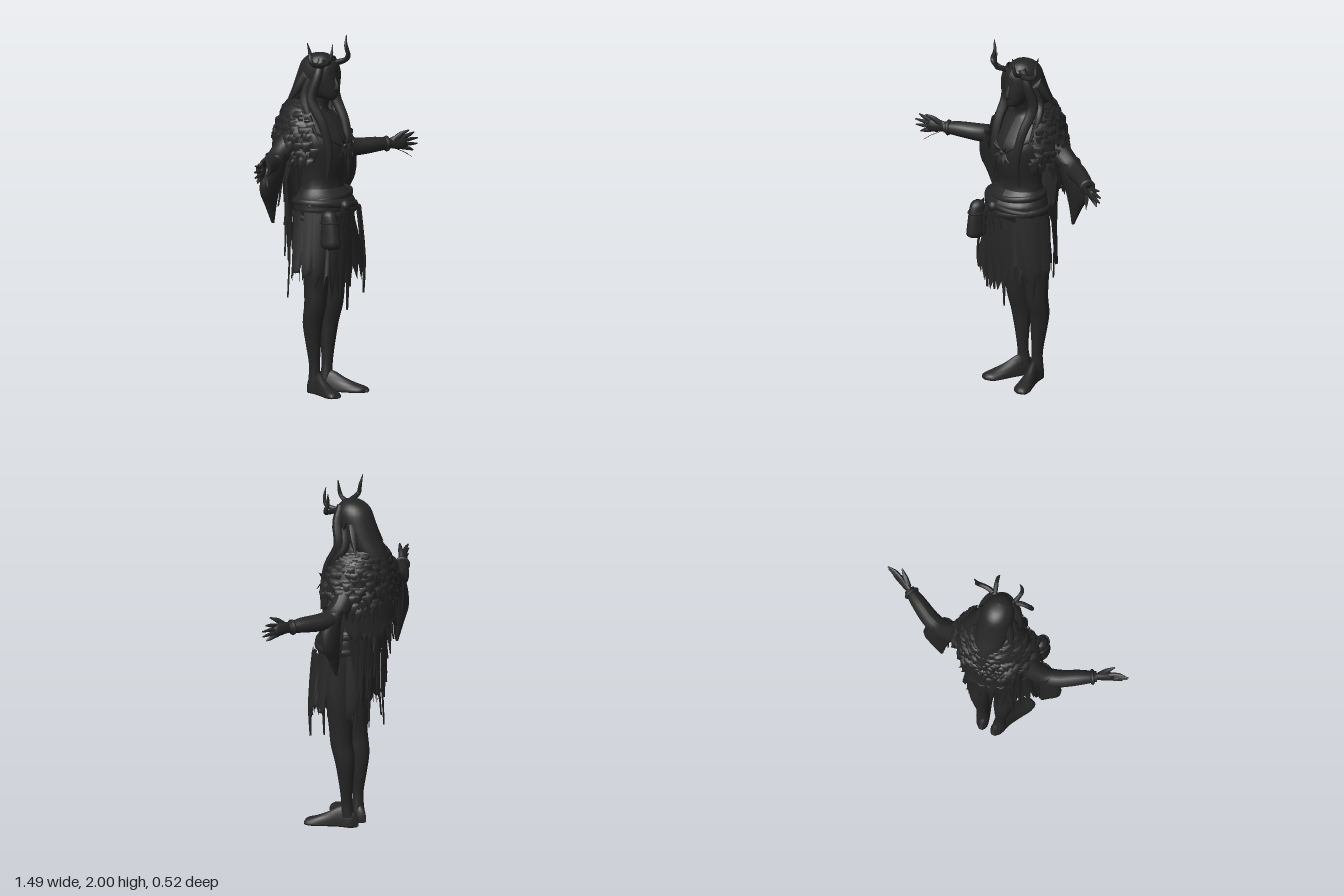
import * as THREE from 'three';
import { mergeGeometries } from 'three/addons/utils/BufferGeometryUtils.js';

const charcoal = new THREE.MeshStandardMaterial({ color: 0x262626, side: THREE.DoubleSide });
charcoal.name = 'charcoal';

let seed = 7;
const rnd = () => (seed = (seed * 16807) % 2147483647) / 2147483647;
const jit = (a) => (rnd() * 2 - 1) * a;

// Grid surface from a rule fn(u, v) -> [x, y, z]
function surf(fn, nu, nv) {
  const pos = [], idx = [];
  for (let j = 0; j <= nv; j++)
    for (let i = 0; i <= nu; i++) pos.push(...fn(i / nu, j / nv, i));
  for (let j = 0; j < nv; j++)
    for (let i = 0; i < nu; i++) {
      const a = j * (nu + 1) + i, b = a + nu + 1;
      idx.push(a, b, a + 1, b, b + 1, a + 1);
    }
  const g = new THREE.BufferGeometry();
  g.setAttribute('position', new THREE.Float32BufferAttribute(pos, 3));
  g.setIndex(idx);
  g.computeVertexNormals();
  return g;
}

// Smooth path through points, extra numbers handled as a second curve
function spline(pts) {
  const a = new THREE.CatmullRomCurve3(pts.map((p) => new THREE.Vector3(p[0], p[1], p[2])), false, 'catmullrom', 0.5);
  const b = new THREE.CatmullRomCurve3(pts.map((p) => new THREE.Vector3(p[3] ?? 0, p[4] ?? 0, 0)), false, 'catmullrom', 0.5);
  return (t) => ({ p: a.getPoint(t), s: b.getPoint(t), d: a.getTangent(t) });
}

// Upright body of stacked ellipses [x, y, z, rx, rz]
function loft(rings, n = 24) {
  const at = spline(rings);
  return surf((u, v) => {
    const { p, s } = at(v), a = u * Math.PI * 2;
    return [p.x + Math.sin(a) * Math.max(s.x, 0.001), p.y, p.z + Math.cos(a) * Math.max(s.y, 0.001)];
  }, n, (rings.length - 1) * 3);
}

// Tapered limb along points [x, y, z, radius]; flat squeezes its depth
function limb(pts, n = 10, flat = 1) {
  const at = spline(pts), ref = new THREE.Vector3(0, 0, 1);
  return surf((u, v) => {
    const { p, s, d } = at(v), a = u * Math.PI * 2, r = Math.max(s.x, 0.001);
    const side = new THREE.Vector3().crossVectors(ref, d).normalize();
    const up = new THREE.Vector3().crossVectors(d, side);
    return p.addScaledVector(side, Math.cos(a) * r).addScaledVector(up, Math.sin(a) * r * flat).toArray();
  }, n, (pts.length - 1) * 4);
}

// Pointed strip of cloth, facing away from the body axis
function rag(pts, w) {
  const at = spline(pts), [x0, , z0] = pts[0], l = Math.hypot(x0, z0) || 1;
  return surf((u, v) => {
    const { p } = at(v), k = (u - 0.5) * w * (1 - v ** 2.5), bow = 0.15 * w * (1 - Math.abs(2 * u - 1));
    return [p.x + (z0 * k + x0 * bow) / l, p.y, p.z + (-x0 * k + z0 * bow) / l];
  }, 2, 5);
}

export function createModel() {
  const model = new THREE.Group();
  const add = (name, ...geos) => {
    const m = new THREE.Mesh(geos.length > 1 ? mergeGeometries(geos) : geos[0], charcoal);
    m.name = name;
    model.add(m);
    return m;
  };

  add('torso', loft([[0, 1.67, 0.03, 0.045, 0.045], [0, 1.61, 0, 0.055, 0.055], [0, 1.57, -0.01, 0.13, 0.085],
    [0, 1.5, 0, 0.16, 0.125], [0, 1.42, 0.02, 0.165, 0.145], [0, 1.3, 0.03, 0.14, 0.13],
    [0, 1.2, 0.03, 0.133, 0.105], [0, 1.1, 0.03, 0.155, 0.125], [0, 1, 0.01, 0.16, 0.11], [0.02, 0.92, 0.01, 0.13, 0.095]]));

  // Head, nose and hair
  add('head', loft([[0, 1.9, 0.04, 0.03, 0.03], [0, 1.86, 0.04, 0.07, 0.072], [0, 1.8, 0.045, 0.078, 0.075],
    [0, 1.75, 0.05, 0.07, 0.075], [0, 1.7, 0.06, 0.055, 0.066], [0, 1.665, 0.07, 0.03, 0.045], [0, 1.65, 0.06, 0.001, 0.001]]));
  add('nose', limb([[0, 1.79, 0.115, 0.007], [0, 1.745, 0.13, 0.012], [0, 1.725, 0.128, 0.016], [0, 1.712, 0.12, 0.004]], 8));
  add('hair', loft([[0, 1.922, 0.02, 0.001, 0.001], [0, 1.91, 0.01, 0.05, 0.055], [0, 1.87, 0, 0.085, 0.095],
    [0, 1.8, -0.02, 0.095, 0.105], [0, 1.72, -0.06, 0.095, 0.095], [0, 1.64, -0.12, 0.08, 0.075],
    [0, 1.56, -0.175, 0.05, 0.05], [0, 1.47, -0.215, 0.02, 0.02], [0, 1.43, -0.23, 0.001, 0.001]]));

  // Legs and feet stand slightly off the centre line
  for (const s of [1, -1]) {
    const side = s > 0 ? 'left' : 'right', X = (o) => 0.037 + s * o;
    add(side + 'Leg', limb([[X(0.07), 0.98, 0.015, 0.082], [X(0.077), 0.75, 0.018, 0.08], [X(0.077), 0.6, 0.015, 0.068],
      [X(0.078), 0.5, 0.01, 0.062], [X(0.075), 0.4, -0.01, 0.056], [X(0.066), 0.28, -0.012, 0.043],
      [X(0.058), 0.16, -0.01, 0.031], [X(0.052), 0.06, -0.015, 0.036]], 16));
    const foot = spline([[0.038, 0, -0.07, 0.012, 0.05], [0.045, 0, -0.04, 0.034, 0.09], [0.06, 0, 0.02, 0.036, 0.11],
      [0.09, 0, 0.09, 0.043, 0.068], [0.115, 0, 0.15, 0.052, 0.04], [0.128, 0, 0.195, 0.044, 0.025], [0.13, 0, 0.212, 0.015, 0.01]]);
    add(side + 'Foot', surf((u, v) => {
      const { p, s: k } = foot(v), a = u * Math.PI * 2;
      return [X(p.x + Math.cos(a) * k.x), 0.008 + Math.max(-0.008, Math.sin(a) * k.y), p.z];
    }, 18, 18));

    // Arm, flat palm and spread fingers
    add(side + 'Arm', limb([[s * 0.15, 1.46, -0.05, 0.07], [s * 0.24, 1.385, -0.07, 0.06], [s * 0.32, 1.34, -0.065, 0.053],
      [s * 0.4, 1.33, -0.04, 0.05], [s * 0.5, 1.335, 0.015, 0.043], [s * 0.58, 1.335, 0.06, 0.03]], 14));
    add(side + 'Palm', limb([[s * 0.565, 1.335, 0.05, 0.024], [s * 0.6, 1.338, 0.07, 0.035], [s * 0.65, 1.335, 0.095, 0.038],
      [s * 0.67, 1.335, 0.1, 0.02]], 12, 0.55));
    const tips = [[0.725, 1.385, 0.115], [0.745, 1.352, 0.125], [0.74, 1.32, 0.125], [0.71, 1.287, 0.12]];
    add(side + 'Fingers', ...tips.map(([x, y, z], i) => limb([[s * 0.64, 1.362 - i * 0.018, 0.09, 0.012],
      [s * 0.685, (1.362 - i * 0.018 + y) / 2, 0.108, 0.011], [s * x, y, z, 0.004]], 7)),
    limb([[s * 0.59, 1.35, 0.07, 0.016], [s * 0.625, 1.385, 0.1, 0.014], [s * 0.66, 1.407, 0.13, 0.004]], 7));
    const cuff = add(side + 'Bracelet', new THREE.TorusGeometry(0.034, 0.011, 8, 18));
    cuff.position.set(s * 0.56, 1.335, 0.048);
    cuff.rotation.y = s * 1.05;
    add(side + 'BraceletTie', rag([[s * 0.59, 1.31, 0.08], [s * 0.63, 1.285, 0.12], [s * 0.655, 1.26, 0.15]], 0.025));

    // Hanging sleeve with torn strips
    add(side + 'Sleeve', loft([[s * 0.3, 1.38, -0.065, 0.06, 0.058], [s * 0.325, 1.29, -0.065, 0.085, 0.052],
      [s * 0.345, 1.18, -0.075, 0.078, 0.038], [s * 0.33, 1.1, -0.08, 0.045, 0.026], [s * 0.31, 0.99, -0.08, 0.008, 0.008]], 14));
    add(side + 'SleeveStrips', ...[0, 1, 2, 3, 4].map((i) => rag([[s * (0.225 + i * 0.02), 1.36, -0.03 - i * 0.02],
      [s * (0.23 + i * 0.02), 1.25, -0.05 - i * 0.015], [s * (0.23 + i * 0.018), 1.19 - i * 0.035, -0.06 - i * 0.01]], 0.045)));

    // Antler with an outer and a forward prong, ear and long front locks
    add(side + 'Antler', limb([[s * 0.05, 1.86, 0.075, 0.017], [s * 0.11, 1.865, 0.09, 0.015], [s * 0.168, 1.885, 0.082, 0.013],
      [s * 0.164, 1.94, 0.068, 0.01], [s * 0.178, 2, 0.06, 0.002]], 8),
    limb([[s * 0.06, 1.865, 0.08, 0.014], [s * 0.076, 1.885, 0.135, 0.012], [s * 0.074, 1.93, 0.15, 0.009], [s * 0.062, 1.985, 0.148, 0.002]], 8));
    add(side + 'Ear', limb([[s * 0.075, 1.76, 0.02, 0.022], [s * 0.1, 1.79, 0, 0.018], [s * 0.115, 1.83, -0.02, 0.001]], 8, 0.5));
    add(side + 'Locks', limb([[s * 0.045, 1.89, 0.06, 0.022], [s * 0.084, 1.8, 0.06, 0.028], [s * 0.108, 1.67, 0.035, 0.03],
      [s * 0.1, 1.53, 0.11, 0.026], [s * 0.088, 1.37, 0.145, 0.022], [s * 0.1, 1.21, 0.135, 0.002]], 9),
    limb([[s * 0.085, 1.78, 0.01, 0.025], [s * 0.112, 1.68, -0.01, 0.026], [s * 0.14, 1.6, 0.03, 0.02], [s * 0.14, 1.45, 0.11, 0.002]], 8),
    limb([[s * 0.075, 1.8, -0.03, 0.025], [s * 0.1, 1.73, -0.06, 0.025], [s * 0.14, 1.65, -0.1, 0.002]], 8));
  }

  // Open-fronted fur cape: smooth base under rows of tufts
  const capeAt = spline([[0, 1.66, -0.06, 0.1, 0.11], [0, 1.61, -0.05, 0.165, 0.145], [0, 1.53, -0.04, 0.208, 0.172],
    [0, 1.44, -0.03, 0.23, 0.187], [0, 1.35, -0.03, 0.208, 0.18]]);
  const cape = (u, v) => {
    const { p, s } = capeAt(v), a = 0.85 + u * (Math.PI * 2 - 1.7);
    return [Math.sin(a) * s.x, p.y, p.z + Math.cos(a) * s.y];
  };
  add('capeBase', surf(cape, 40, 12));
  const tufts = [];
  for (let row = 0; row < 9; row++)
    for (let i = 0; i < 32; i++) {
      const [x, y, z] = cape((i + rnd()) / 32, Math.min(1, row / 8.5 + rnd() * 0.08));
      const k = 1.03 + rnd() * 0.06, slip = jit(0.02);
      tufts.push(rag([[x, y, z], [x * k + slip * 0.6, y - 0.015, z * k], [x * k + slip, y - 0.05 - rnd() * 0.04, z * k]], 0.055));
    }
  add('capeFur', ...tufts);

  // Torn strips behind: a short outer layer and a long inner one
  const layer = (n, spread, r, pull, end) => Array.from({ length: n }, (_, i) => {
    const a = Math.PI + (i / (n - 1) - 0.5) * spread, x = Math.sin(a) * 0.2, z = -0.03 + Math.cos(a) * r, low = end(i);
    const p = low < 0.66 ? pull * 0.85 : pull;
    return rag([[x, 1.4, z], [x * 0.98, 1.25, z * (p + 1) / 2], [x * 0.95 + jit(0.015), (1.25 + low) / 2, z * p],
      [x * 0.93 + jit(0.02), low, z * p]], 0.06);
  });
  add('capeStrips', ...layer(20, 2.5, 0.185, 1.1, (i) => (i % 4 === 1 ? 1.04 : 1.14) + rnd() * 0.1),
    ...layer(20, 2.1, 0.17, 0.8, (i) => (i % 5 === 2 ? 0.52 : i % 2 ? 0.7 : 0.85) + rnd() * 0.12));

  // Waist sash with thin rolled folds and a front knot
  add('sash', loft([[0, 1.17, 0.03, 0.137, 0.112], [0, 1.13, 0.04, 0.165, 0.138], [-0.01, 1.1, 0.05, 0.19, 0.155],
    [-0.01, 1.075, 0.05, 0.195, 0.155], [-0.005, 1.05, 0.05, 0.2, 0.158], [0, 1, 0.04, 0.185, 0.145]]));
  for (const [y, tilt, r] of [[1.125, 0.12, 0.165], [1.08, -0.1, 0.195], [1.04, 0.14, 0.196]]) {
    const roll = add('sashRoll', new THREE.TorusGeometry(r, 0.012, 8, 36));
    roll.scale.set(1, 0.82, 1.6);
    roll.rotation.set(Math.PI / 2, tilt, 0);
    roll.position.set(0, y, 0.047);
  }
  const knot = add('sashKnot', new THREE.SphereGeometry(0.032, 12, 8));
  knot.position.set(-0.03, 1.08, 0.21);
  add('knotTails', ...[-0.09, -0.05, -0.02, 0.03].map((x, i) => rag([[-0.03, 1.08, 0.22], [x, 1.02, 0.22], [x * 1.2, 0.86 + i * 0.03, 0.205]], 0.035)));

  // Ragged skirt, squarer in front, open on the left, longest right of centre
  const turn = (u) => 2.3 - Math.PI * 2 + u * (Math.PI * 2 - 1.05);
  const hem = Array.from({ length: 73 }, (_, i) =>
    0.72 - 0.12 * Math.exp(-(((turn(i / 72) + 0.2) / 0.45) ** 2)) + (i % 3 === 0 ? -0.06 : 0.02) + jit(0.035));
  add('skirt', surf((u, v, i) => {
    const a = turn(u), f = 0.008 * Math.sin(i * 1.9) * v, front = Math.cos(a) > 0;
    const square = 1 + (front ? 0.24 * Math.abs(Math.sin(2 * a)) * v : 0);
    return [Math.sin(a) * (0.175 + 0.045 * v + f) * square, 1.06 + (hem[i] - 1.06) * v,
      0.035 + Math.cos(a) * ((front ? 0.15 : 0.135) - 0.005 * v + f) * square];
  }, 72, 7));
  // Close-fitting panel over the left hip
  add('hipPanel', surf((u, v) => {
    const a = 1.1 + u * 1.4, low = 0.74 + 0.08 * Math.sin(u * 5);
    return [Math.sin(a) * (0.185 + 0.018 * v), 1.06 + (low - 1.06) * v, 0.03 + Math.cos(a) * (0.14 - 0.02 * v)];
  }, 14, 6));
  const strips = [[-0.21, 0.09, 0.7], [-0.19, 0.14, 0.63], [-0.1, 0.17, 0.55], [-0.04, 0.18, 0.56], [0.025, 0.175, 0.48],
    [0.17, 0.15, 0.66], [0.2, 0.14, 0.55], [0.22, 0.12, 0.72], [0.225, 0.06, 0.74], [-0.21, 0.02, 0.72], [0.15, -0.08, 0.7]];
  add('skirtStrips', ...strips.map(([x, z, end]) => rag([[x * 0.9, 1.05, z * 1.05], [x, 0.88, z * 1.1], [x * 1.1, 0.72, z * 1.08],
    [x * 1.1, end, z]], 0.08)));

  // Hip pouch
  add('pouch', loft([[-0.165, 1.07, 0.2, 0.01, 0.01], [-0.165, 1.05, 0.2, 0.035, 0.04], [-0.165, 1.0, 0.205, 0.04, 0.052],
    [-0.165, 0.92, 0.21, 0.043, 0.06], [-0.165, 0.865, 0.21, 0.043, 0.06], [-0.165, 0.845, 0.21, 0.001, 0.001]], 14));
  const band = add('pouchBand', new THREE.TorusGeometry(0.042, 0.006, 6, 18));
  band.scale.set(0.95, 1.25, 1);
  band.rotation.x = Math.PI / 2;
  band.position.set(-0.165, 1.0, 0.205);

  // Chest tie with pointed leaves
  const leaf = (x, y) => rag([[0.01, 1.41, 0.172], [0.01 + x / 2, 1.41 + y / 2, 0.192], [0.01 + x, 1.41 + y, 0.192]], 0.035);
  add('chestTie', leaf(-0.07, -0.05), leaf(0.07, -0.04), leaf(-0.02, -0.09), leaf(0.03, -0.08), leaf(-0.05, 0.05), leaf(0.05, 0.05));
  const bead = add('chestBead', new THREE.SphereGeometry(0.02, 10, 8));
  bead.position.set(0.01, 1.41, 0.175);
  add('chestCord', limb([[-0.15, 1.5, 0.06, 0.008], [-0.08, 1.45, 0.145, 0.008], [0.01, 1.41, 0.172, 0.008],
    [0.08, 1.45, 0.145, 0.008], [0.15, 1.5, 0.06, 0.008]], 6));
  return model;
}
